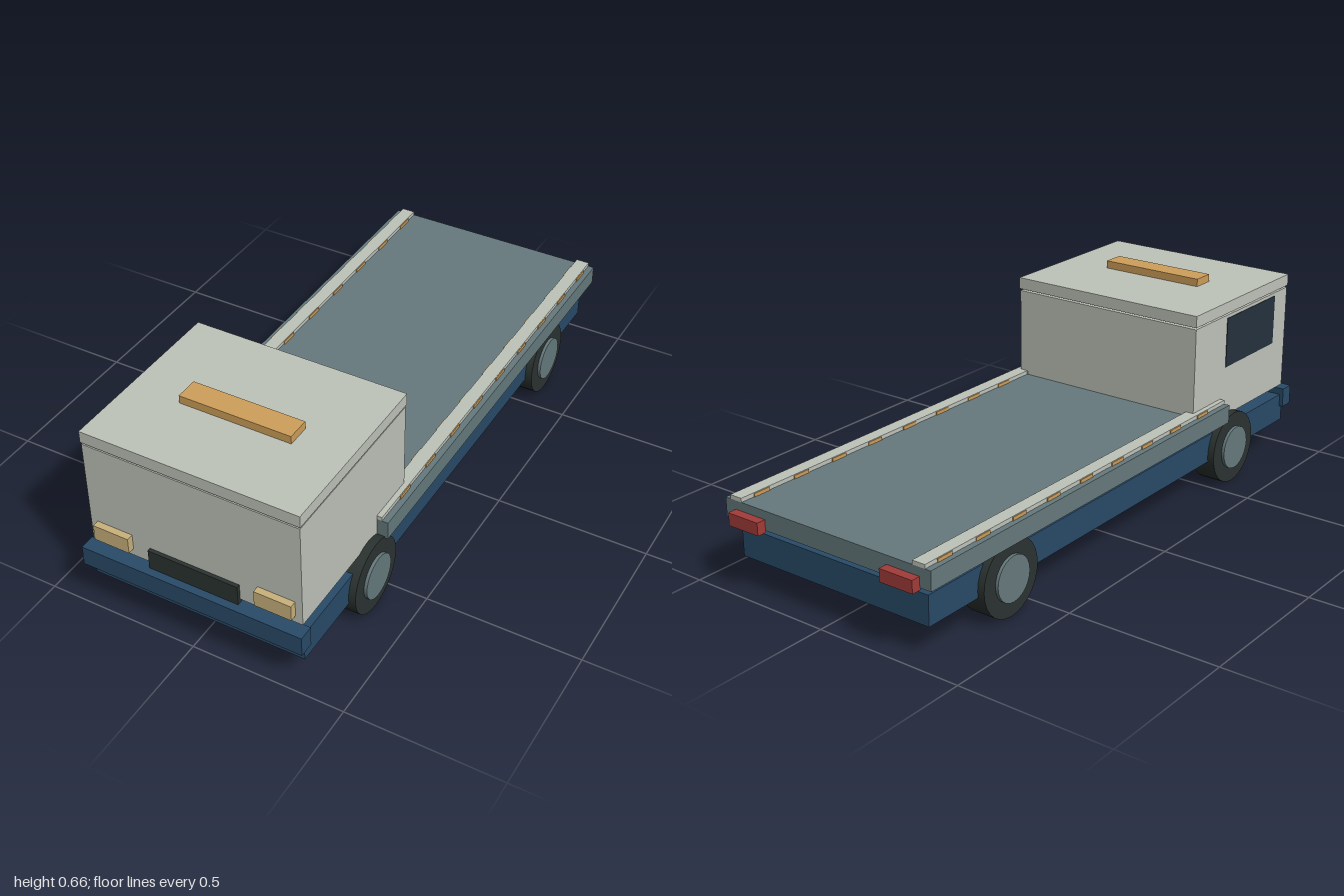
import * as THREE from 'three';

const mat = (name, color) => {
  const m = new THREE.MeshStandardMaterial({ color });
  m.name = name;
  return m;
};

export function createModel() {
  const paint = mat('pale grey paint', 0xbfc4ba);
  const blue = mat('chassis blue', 0x294b69);
  const steel = mat('deck steel', 0x667a7d);
  const black = mat('rubber black', 0x2b3331);
  const glass = mat('dark glass', 0x25323d);
  const amber = mat('amber', 0xcf9f5a);
  const lamp = mat('headlight cream', 0xcab27c);
  const red = mat('tail light red', 0xa23c39);

  const truck = new THREE.Group();
  truck.name = 'flatbedTruck';

  // Box given by its min and max on each axis
  const box = (name, material, [x0, x1], [y0, y1], [z0, z1]) => {
    const mesh = new THREE.Mesh(new THREE.BoxGeometry(x1 - x0, y1 - y0, z1 - z0), material);
    mesh.position.set((x0 + x1) / 2, (y0 + y1) / 2, (z0 + z1) / 2);
    mesh.name = name;
    truck.add(mesh);
    return mesh;
  };
  // Span mirrored to the chosen side
  const side = (s, a, b) => (s > 0 ? [a, b] : [-b, -a]);

  // Chassis and bumper
  box('chassis', blue, [-0.357, 0.357], [0.103, 0.2], [-0.945, 0.965]);
  box('frontBumper', blue, [-0.37, 0.37], [0.157, 0.223], [0.95, 1]);

  // Cab, with a narrow gap under the roof slab
  box('cab', paint, [-0.353, 0.353], [0.235, 0.591], [0.378, 0.963]);
  box('cabRoof', paint, [-0.355, 0.355], [0.598, 0.637], [0.375, 0.965]);
  box('windscreenTop', glass, [-0.3, 0.3], [0.56, 0.6], [0.92, 0.945]);
  box('sideWindow', glass, [-0.355, -0.35], [0.41, 0.58], [0.57, 0.88]);
  box('roofBeacon', amber, [-0.184, 0.184], [0.637, 0.663], [0.65, 0.725]);
  box('grille', black, [-0.15, 0.15], [0.223, 0.29], [0.95, 0.975]);

  // Flat deck
  box('deck', steel, [-0.39, 0.39], [0.23, 0.292], [-0.97, 0.545]);

  for (const s of [1, -1]) {
    box('headlight', lamp, side(s, 0.21, 0.33), [0.26, 0.313], [0.955, 0.985]);
    box('tailLight', red, side(s, 0.232, 0.35), [0.223, 0.264], [-1, -0.968]);

    // Deck rail with a row of marker lights
    box('deckRail', paint, side(s, 0.325, 0.37), [0.29, 0.305], [-0.97, 0.545]);
    for (let i = 0; i < 9; i++) {
      const z = -0.89 + i * 0.162;
      box('railMarker', amber, side(s, 0.322, 0.373), [0.29, 0.303], [z - 0.03, z + 0.03]);
    }

    // Wheels
    for (const z of [0.597, -0.615]) {
      const wheel = new THREE.Group();
      wheel.name = z > 0 ? 'frontWheel' : 'rearWheel';
      const tyre = new THREE.Mesh(new THREE.CylinderGeometry(0.123, 0.123, 0.083, 28), black);
      tyre.name = 'tyre';
      const hub = new THREE.Mesh(new THREE.CylinderGeometry(0.073, 0.073, 0.092, 24), steel);
      hub.name = 'hub';
      hub.position.y = -s * 0.0055;
      wheel.add(tyre, hub);
      wheel.rotation.z = Math.PI / 2;
      wheel.position.set(s * 0.3385, 0.124, z);
      truck.add(wheel);
    }
  }
  return truck;
}
